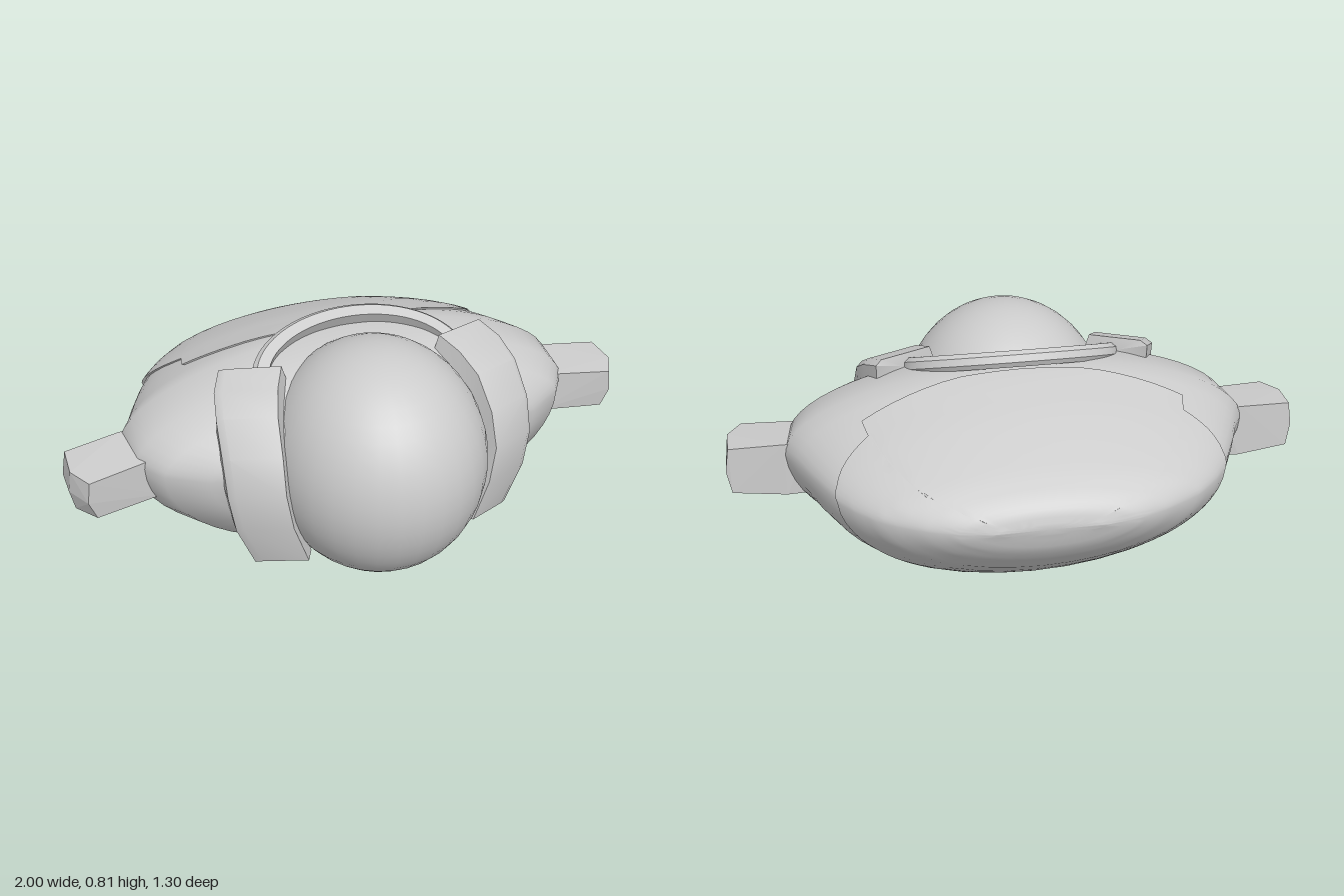
import * as THREE from 'three';
import { toCreasedNormals } from 'three/addons/utils/BufferGeometryUtils.js';
import { ConvexGeometry } from 'three/addons/geometries/ConvexGeometry.js';

const grey = new THREE.MeshStandardMaterial({ color: 0xcccccc });
const flatGrey = new THREE.MeshStandardMaterial({ color: 0xcccccc, flatShading: true });
const lerp = THREE.MathUtils.lerp;

// Capped skin over closed rings of [x, y, z] points, always wound outwards
function loft(rings, crease) {
  const n = rings[0].length, pts = rings.flat(), idx = [];
  for (let r = 0; r < rings.length - 1; r++) {
    for (let i = 0; i < n; i++) {
      const a = r * n + i, b = r * n + (i + 1) % n;
      idx.push(a, b, b + n, a, b + n, a + n);
    }
  }
  [0, rings.length - 1].forEach((r, end) => {
    const c = pts.length;
    pts.push([0, 1, 2].map(k => rings[r].reduce((s, p) => s + p[k] / n, 0)));
    for (let i = 0; i < n; i++) {
      const a = r * n + i, b = r * n + (i + 1) % n;
      if (end) idx.push(a, b, c); else idx.push(b, a, c);
    }
  });
  // A negative volume means the faces point inwards
  let volume = 0;
  const [A, B, C] = [0, 1, 2].map(() => new THREE.Vector3());
  for (let i = 0; i < idx.length; i += 3) {
    A.fromArray(pts[idx[i]]); B.fromArray(pts[idx[i + 1]]); C.fromArray(pts[idx[i + 2]]);
    volume += A.dot(B.cross(C));
  }
  if (volume < 0) idx.reverse();
  const g = new THREE.BufferGeometry();
  g.setAttribute('position', new THREE.Float32BufferAttribute(pts.flat(), 3));
  g.setIndex(idx);
  return toCreasedNormals(g, crease);
}

// Hull stations, front to back: z, half width, top, bottom
const hull = [
  [0.37, 0.2, 0.5, 0.38], [0.35, 0.34, 0.55, 0.29], [0.28, 0.58, 0.62, 0.16],
  [0.2, 0.71, 0.66, 0.06], [0.1, 0.78, 0.71, 0.035], [-0.05, 0.8, 0.73, 0.03],
  [-0.12, 0.775, 0.73, 0.03], [-0.2, 0.74, 0.705, 0.035], [-0.3, 0.69, 0.675, 0.05],
  [-0.37, 0.65, 0.648, 0.1], [-0.45, 0.59, 0.615, 0.165], [-0.53, 0.51, 0.58, 0.235],
  [-0.6, 0.38, 0.54, 0.315], [-0.635, 0.28, 0.51, 0.37], [-0.65, 0.18, 0.465, 0.435],
];
const MID = 0.45;

// Point on the hull; angle 0 is the top, PI the bottom
function hullPoint(a, z, k = 1) {
  let i = 0;
  while (i < hull.length - 2 && hull[i + 1][0] > z) i++;
  const f = (z - hull[i][0]) / (hull[i + 1][0] - hull[i][0]);
  const [, w, t, b] = hull[i].map((v, j) => lerp(v, hull[i + 1][j], f));
  const c = Math.cos(a);
  const y = c > 0 ? (t - MID) * Math.pow(c, 1.1) : (MID - b) * c;
  return [k * w * Math.sin(a), MID + k * y, z];
}

function frontHull() {
  const rings = hull.slice(0, 13).map(([z]) => {
    const k = z < -0.08 ? 0.98 : 1;
    return Array.from({ length: 56 }, (_, i) => hullPoint(i / 56 * Math.PI * 2, z, k));
  });
  return loft(rings, 0.7);
}

// Rear shell with a notched front edge: [angle in degrees, z of the edge]
function rearShell() {
  const edge = [[0, -0.1], [15, -0.105], [30, -0.14], [46, -0.18], [47, -0.25], [60, -0.3],
    [75, -0.355], [90, -0.385], [110, -0.395], [125, -0.39], [135, -0.37], [150, -0.31], [180, -0.28]];
  const half = [];
  for (let i = 0; i < edge.length - 1; i++) {
    for (let s = 0; s < 3; s++) half.push(edge[i].map((v, j) => lerp(v, edge[i + 1][j], s / 3)));
  }
  half.push(edge[edge.length - 1]);
  const back = half.slice(1, -1).reverse().map(([a, z]) => [360 - a, z]);
  const around = [...half, ...back].map(([a, z]) => [a * Math.PI / 180, z]);
  const rings = [around.map(([a, z]) => hullPoint(a, z, 0.95))];
  const rows = 18;
  for (let r = 0; r <= rows; r++) {
    const s = Math.sin(r / rows * Math.PI / 2);
    rings.push(around.map(([a, z]) => hullPoint(a, lerp(z, -0.65, s))));
  }
  return loft(rings, 0.7);
}

// Curved guard beside the dome: inner x, outer x, front y, front z, back y, back z
function sideGuard(side) {
  const stations = [
    [0.3, 0.46, 0.15, 0.41, 0.14, 0.28], [0.35, 0.52, 0.3, 0.415, 0.3, 0.29],
    [0.37, 0.54, 0.43, 0.41, 0.43, 0.285], [0.365, 0.54, 0.55, 0.37, 0.51, 0.25],
    [0.35, 0.53, 0.65, 0.285, 0.565, 0.2], [0.32, 0.51, 0.7, 0.2, 0.6, 0.13],
    [0.28, 0.47, 0.73, 0.12, 0.63, 0.05],
  ];
  const rings = stations.map(([xi, xo, yf, zf, yb, zb]) => [
    [side * xi, yf, zf], [side * (xo - 0.02), yf - 0.008, zf - 0.06],
    [side * xo, yf - 0.02, zf - 0.08], [side * xo, yb, zb], [side * (xi - 0.03), yb, zb + 0.07],
  ]);
  return loft(rings, 0.6);
}

// Tilted hoop behind the dome, with a bevelled section of [radial, normal] offsets
function hoop() {
  const section = [[-0.025, -0.025], [0.015, -0.025], [0.03, -0.01], [0.03, 0.015], [0.015, 0.03], [-0.025, 0.03]];
  const rings = [];
  for (let i = 0; i <= 32; i++) {
    const t = i / 32 * Math.PI, c = Math.cos(t), s = Math.sin(t);
    rings.push(section.map(([r, n]) => [
      (0.35 + r) * c, 0.655 + (0.1 + r * 0.45) * s + n * 0.9, 0.13 - (0.21 + r * 0.9) * s + n * 0.45,
    ]));
  }
  return loft(rings, 0.6);
}

// Faceted stub at the widest point of the hull
function sideStub(side) {
  const corners = [
    [0.72, 0.49, -0.06], [0.8, 0.49, -0.055], [0.8, 0.3, -0.065], [0.72, 0.3, -0.06],
    [0.7, 0.48, 0.12], [0.7, 0.33, 0.12],
    [0.985, 0.475, -0.03], [1, 0.39, -0.03], [0.985, 0.31, -0.04],
    [0.99, 0.47, 0.085], [1, 0.39, 0.075], [0.985, 0.315, 0.07],
    [0.945, 0.465, 0.165], [0.955, 0.39, 0.165], [0.93, 0.32, 0.155],
  ];
  return new ConvexGeometry(corners.map(([x, y, z]) => new THREE.Vector3(side * x, y, z)));
}

export function createModel() {
  const model = new THREE.Group();
  model.name = 'pod';
  const add = (name, geometry, material = grey) => {
    const mesh = new THREE.Mesh(geometry, material);
    mesh.name = name;
    model.add(mesh);
    return mesh;
  };

  // Front dome
  const dome = add('dome', new THREE.SphereGeometry(1, 32, 24));
  dome.scale.set(0.37, 0.403, 0.4);
  dome.position.set(0, 0.405, 0.25);

  // Hull halves and hoop
  add('frontHull', frontHull());
  add('rearShell', rearShell());
  add('hoop', hoop());

  // Mirrored side parts
  for (const [label, side] of [['left', 1], ['right', -1]]) {
    add(label + 'Guard', sideGuard(side));
    add(label + 'Stub', sideStub(side), flatGrey);
  }
  return model;
}
